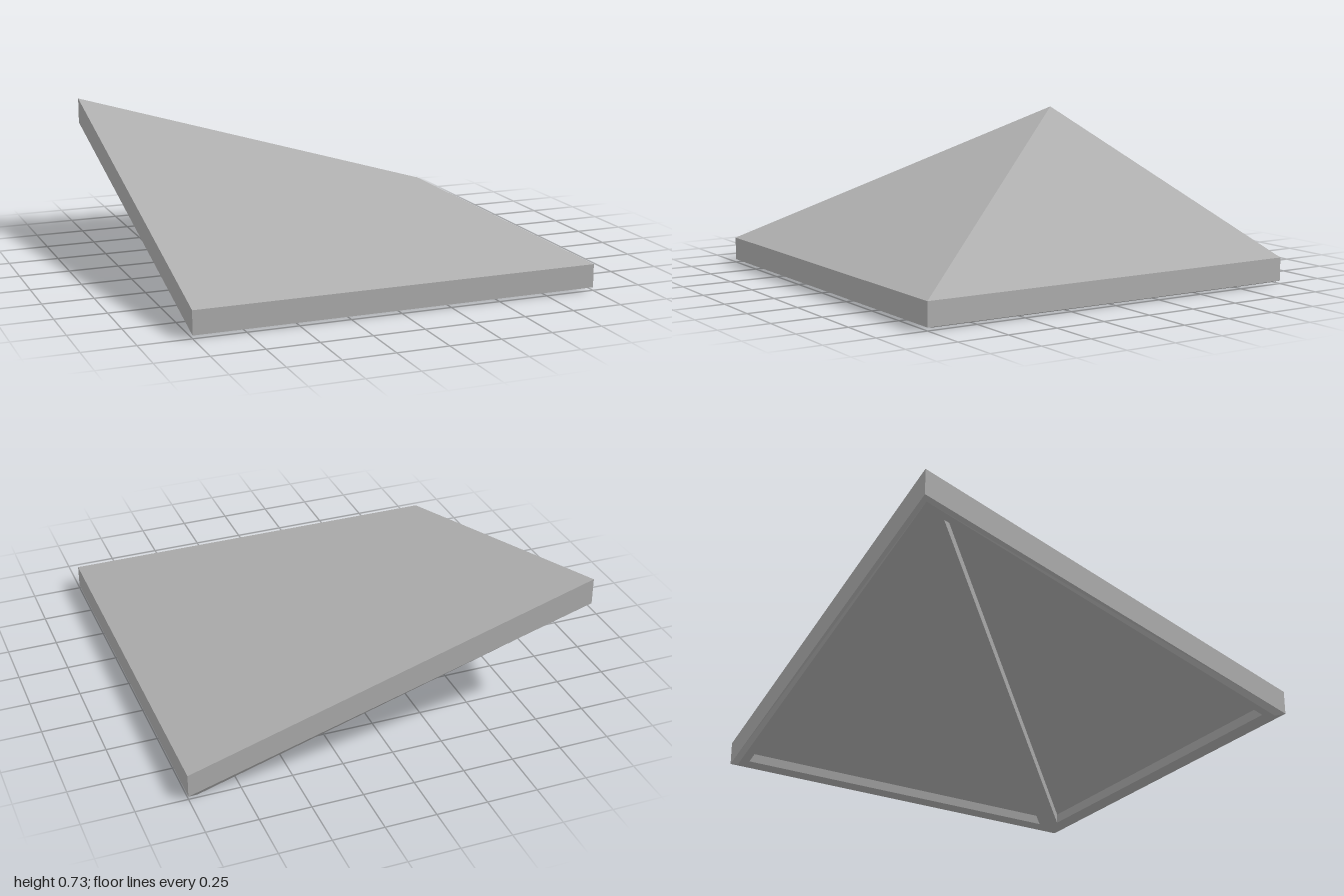
import * as THREE from 'three';

const EAVE = 0.13, SLOPE = 0.3;

// Corner points of one roof half, inset from eave, gable and hip, at a vertical depth below the slope
function ring(eave, gable, hip, depths) {
  const h = hip * Math.SQRT2;
  const plan = [
    [-1 + gable, 1 - eave],
    [1 - eave - h, 1 - eave],
    [-1 + gable, -1 + gable + h],
  ];
  return plan.map(([x, z], i) => [x, EAVE + SLOPE * (1 - z) - depths[i], z]);
}

const same = (d) => [d, d, d];

// Successive loops from the top surface down the edge, around the lip and into the recess
const RINGS = [
  ring(0, 0, 0, same(0)),
  ring(0, 0, 0, [0.115, 0.115, 0.13]),
  ring(0.05, 0.02, 0, same(0.145)),
  ring(0.09, 0.065, 0.05, same(0.145)),
  ring(0.1, 0.07, 0.055, same(0.107)),
];

export function createModel() {
  const model = new THREE.Group();
  model.name = 'cornerRoof';
  const stone = new THREE.MeshStandardMaterial({ color: 0xb0b0b0 });
  stone.name = 'plain grey';

  // Each half is the other one reflected across the hip line
  for (const mirrored of [false, true]) {
    const half = new THREE.Group();
    half.name = mirrored ? 'sideHalf' : 'frontHalf';

    const addPart = (name, triangles) => {
      const pos = [];
      for (const tri of triangles) {
        const corners = mirrored ? [tri[0], tri[2], tri[1]] : tri;
        for (const [x, y, z] of corners) pos.push(...(mirrored ? [z, y, x] : [x, y, z]));
      }
      const geo = new THREE.BufferGeometry();
      geo.setAttribute('position', new THREE.Float32BufferAttribute(pos, 3));
      geo.computeVertexNormals();
      const mesh = new THREE.Mesh(geo, stone);
      mesh.name = name;
      half.add(mesh);
    };

    // Strip of faces between two loops; the hip side is open where the halves meet
    const strip = (level, closeHip) => {
      const up = RINGS[level], low = RINGS[level + 1], tris = [];
      for (let i = 0; i < 3; i++) {
        if (i === 1 && !closeHip) continue;
        const j = (i + 1) % 3;
        tris.push([low[i], low[j], up[j]], [low[i], up[j], up[i]]);
      }
      return tris;
    };

    addPart('roofSlope', [RINGS[0]]);
    addPart('edgeBand', strip(0, false));
    addPart('lipChamfer', strip(1, false));
    addPart('undersideLip', strip(2, true));
    addPart('recessWall', strip(3, true));
    const [a, b, c] = RINGS[4];
    addPart('undersidePanel', [[a, c, b]]);
    model.add(half);
  }
  return model;
}
